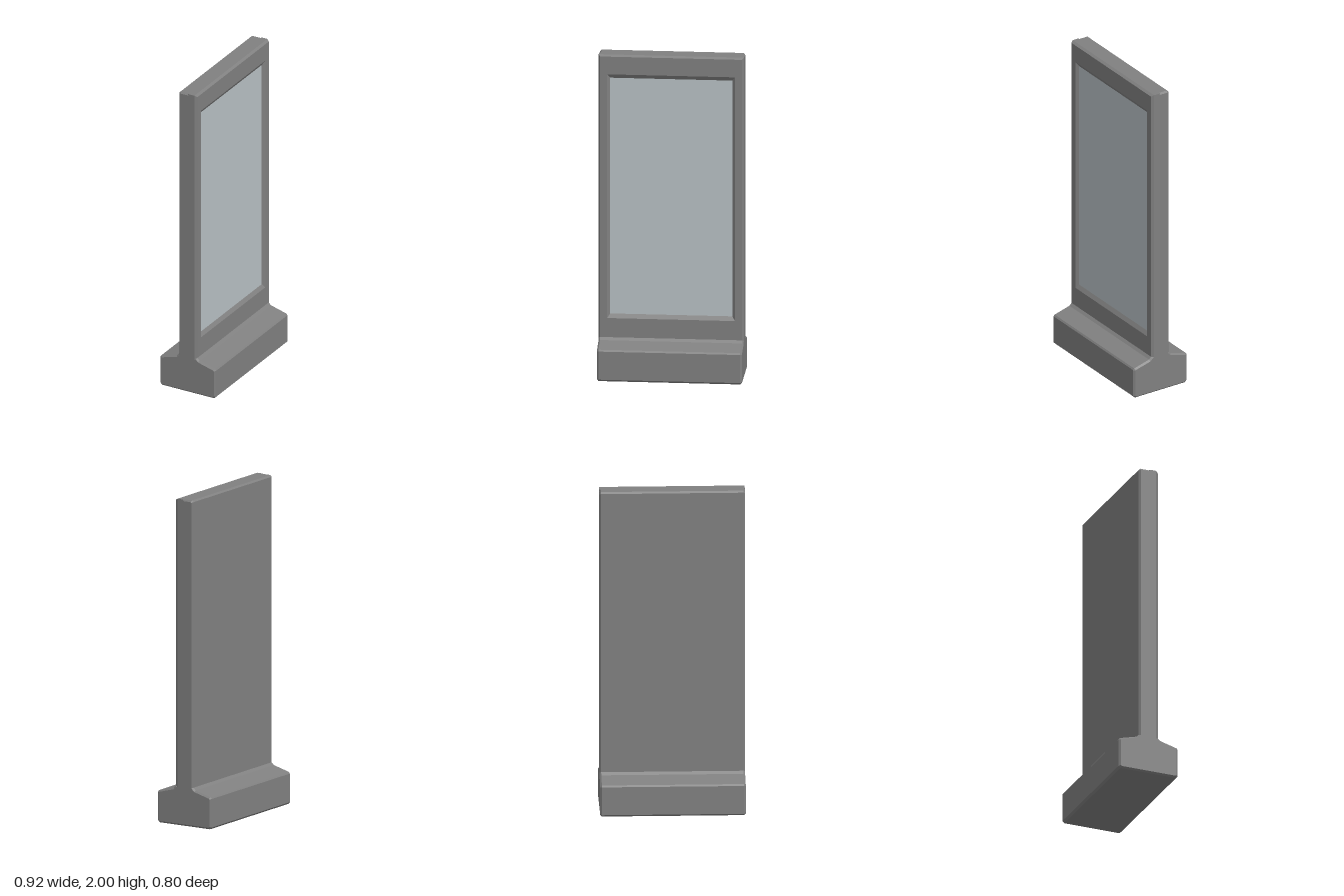
import * as THREE from 'three';

const HALF = 0.436;      // half width of the stand
const BEVEL = 0.01;
const FRONT = 0.063;     // front plane of the upright panel
const HOLE = { x: 0.367, y0: 0.385, y1: 1.855 };  // recess floor
const RIM = { x: 0.384, y0: 0.36, y1: 1.88 };     // recess opening

const toShape = (pts) => new THREE.Shape(pts.map(([x, y]) => new THREE.Vector2(x, y)));
const bevel = (thickness) => ({
  bevelEnabled: true, bevelSegments: 1, bevelSize: BEVEL, bevelOffset: -BEVEL, bevelThickness: thickness,
});

function add(group, name, geometry, material) {
  const mesh = new THREE.Mesh(geometry, material);
  mesh.name = name;
  group.add(mesh);
}

// Side profile of foot and panel core, extruded across the width
function bodyGeometry() {
  const profile = [
    [0.18, 0], [0.192, 0.012], [0.192, 0.187], [0.185, 0.197], [0.078, 0.226], [0.063, 0.241],
    [0.04, 0.245], [0.04, 1.99], [0.03, 2], [-0.052, 2], [-0.062, 1.99],
    [-0.062, 0.241], [-0.077, 0.226], [-0.185, 0.197], [-0.192, 0.187], [-0.192, 0.012], [-0.18, 0],
  ];
  const geo = new THREE.ExtrudeGeometry(toShape(profile.map(([z, y]) => [-z, y])), {
    depth: 2 * (HALF - BEVEL), ...bevel(BEVEL),
  });
  return geo.translate(0, 0, BEVEL - HALF).rotateY(Math.PI / 2);
}

// Front frame with a window whose edges slope down to the screen
function frameGeometry() {
  const shape = toShape([[-HALF, 0.1], [HALF, 0.1], [HALF, 2], [-HALF, 2]]);
  const { x, y0, y1 } = HOLE;
  shape.holes.push(new THREE.Path([[-x, y0], [-x, y1], [x, y1], [x, y0]].map(([a, b]) => new THREE.Vector2(a, b))));
  const thick = 0.015, depth = 0.04;
  const geo = new THREE.ExtrudeGeometry(shape, { depth, ...bevel(thick) });
  geo.translate(0, 0, FRONT - depth - thick);
  // Widen the front edge of the window to the rim
  const p = geo.attributes.position;
  for (let i = 0; i < p.count; i++) {
    if (p.getZ(i) > FRONT - 0.001 && Math.abs(p.getX(i)) < 0.4) {
      p.setX(i, Math.sign(p.getX(i)) * RIM.x);
      p.setY(i, p.getY(i) > 1 ? RIM.y1 : RIM.y0);
    }
  }
  geo.computeVertexNormals();
  return geo;
}

export function createModel() {
  const group = new THREE.Group();
  group.name = 'displayStand';
  const casing = new THREE.MeshStandardMaterial({ color: 0x808080 });
  const glass = new THREE.MeshStandardMaterial({ color: 0xb8c0c4 });

  const stand = new THREE.Group();
  stand.name = 'stand';
  add(stand, 'footAndPanel', bodyGeometry(), casing);
  add(stand, 'frontFrame', frameGeometry(), casing);

  // Flat screen at the bottom of the recess
  const screen = new THREE.BoxGeometry(2 * HOLE.x, HOLE.y1 - HOLE.y0, 0.013);
  screen.translate(0, (HOLE.y0 + HOLE.y1) / 2, 0.0415);
  add(stand, 'screen', screen, glass);

  // The whole stand is turned on the spot
  stand.rotation.y = THREE.MathUtils.degToRad(35);
  group.add(stand);
  return group;
}
